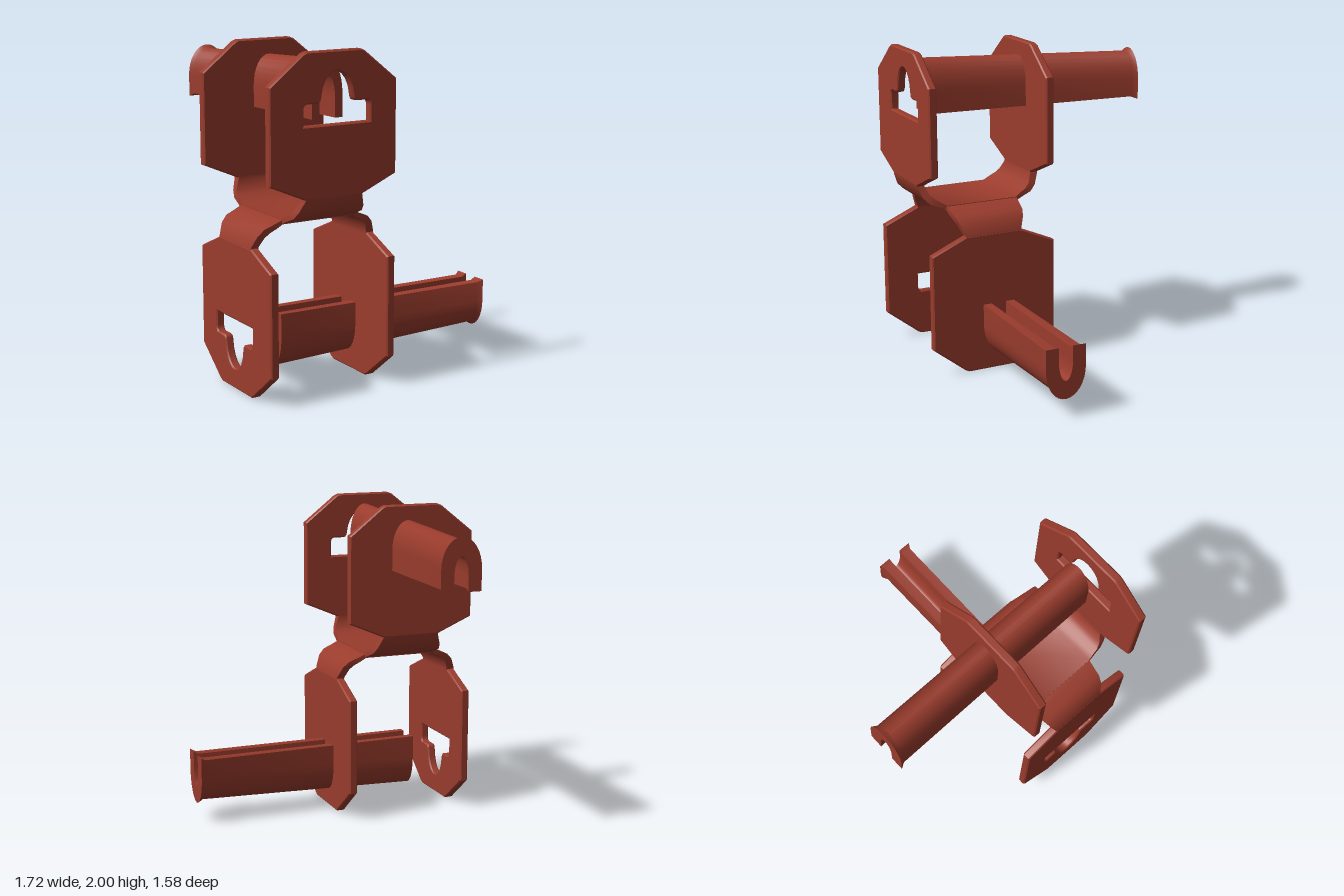
import * as THREE from 'three';
import { toCreasedNormals } from 'three/addons/utils/BufferGeometryUtils.js';

const redOxide = new THREE.MeshStandardMaterial({ color: 0x9a3c2d });
redOxide.name = 'redOxide';

// Skin a row of rings running towards -z; each ring is clockwise seen from +z.
function loft(rings) {
  const pos = [];
  const quad = (a, b, c, d) => pos.push(...a, ...b, ...c, ...a, ...c, ...d);
  const n = rings[0].length;
  for (let r = 0; r < rings.length - 1; r++) {
    const p = rings[r], q = rings[r + 1];
    for (let i = 0; i < n; i++) {
      const j = (i + 1) % n;
      quad(p[i], p[j], q[j], q[i]);
    }
  }
  const first = rings[0], last = rings[rings.length - 1];
  for (let i = 0; i < n / 2 - 1; i++) {
    quad(first[i], first[n - 1 - i], first[n - 2 - i], first[i + 1]);
    quad(last[i], last[i + 1], last[n - 2 - i], last[n - 1 - i]);
  }
  const geo = new THREE.BufferGeometry();
  geo.setAttribute('position', new THREE.Float32BufferAttribute(pos, 3));
  return toCreasedNormals(geo, 0.65);
}

// Arch outline from bottom left, over the top, to bottom right
function arch(cx, halfWidth, y0, y1, z) {
  const spring = y0 + 0.42 * (y1 - y0), pts = [[cx - halfWidth, y0, z]];
  for (let i = 0; i <= 16; i++) {
    const t = Math.PI * (1 - i / 16);
    pts.push([cx + halfWidth * Math.cos(t), spring + (y1 - spring) * Math.sin(t), z]);
  }
  pts.push([cx + halfWidth, y0, z]);
  return pts;
}

// Eight-sided lug with a narrow neck
function plate(extra, hole) {
  const s = new THREE.Shape();
  const side = [[0.183, 0.145], [0.415, 0.245], [0.415, 0.79 + extra], [0.2, 0.96 + extra], [0.175, 0.97 + extra]];
  s.setFromPoints([...side, ...side.map(([x, y]) => [-x, y]).reverse()].map(([x, y]) => new THREE.Vector2(x, y)));
  if (hole) s.holes.push(hole);
  const b = 0.008;
  const geo = new THREE.ExtrudeGeometry(s, {
    depth: 0.053 - 2 * b, bevelThickness: b, bevelSize: b, bevelOffset: -b, bevelSegments: 1, curveSegments: 10,
  });
  geo.translate(0, 0, b);
  return toCreasedNormals(geo, 0.5);
}

// Arched keyhole with a wing on each side
function keyhole(shift) {
  const c = 0.02, y = 0.56 + shift, h = new THREE.Path();
  h.moveTo(c - 0.217, y);
  h.lineTo(c + 0.217, y);
  h.lineTo(c + 0.217, y + 0.09);
  h.quadraticCurveTo(c + 0.215, y + 0.122, c + 0.19, y + 0.122);
  h.lineTo(c + 0.125, y + 0.122);
  h.quadraticCurveTo(c + 0.107, y + 0.125, c + 0.103, y + 0.15);
  h.bezierCurveTo(c + 0.085, y + 0.345, c - 0.085, y + 0.345, c - 0.103, y + 0.15);
  h.quadraticCurveTo(c - 0.107, y + 0.125, c - 0.125, y + 0.122);
  h.lineTo(c - 0.19, y + 0.122);
  h.quadraticCurveTo(c - 0.215, y + 0.122, c - 0.217, y + 0.09);
  h.closePath();
  return h;
}

// Bent strap joining the two lugs: [outer z, outer y, inner z, inner y, half width]
function strap() {
  const bend = [
    [0.415, 0.16, 0.362, 0.16, 0.183],
    [0.412, 0.14, 0.362, 0.14, 0.188],
    [0.382, 0.072, 0.338, 0.085, 0.215],
    [0.345, 0.034, 0.31, 0.058, 0.228],
    [0.29, 0.012, 0.272, 0.038, 0.234],
    [0.24, -0.01, 0.235, 0.014, 0.24],
  ];
  const mirrored = bend.map(([oz, oy, iz, iy, w]) => [-oz, oy, -iz, iy, w]).reverse();
  return loft([...bend, ...mirrored].map(([oz, oy, iz, iy, w]) =>
    [[-w, iy, iz], [w, iy, iz], [w, oy, oz], [-w, oy, oz]]));
}

// Tapered channel pin with a flared tip
function pin(slide, nearShift, farShift) {
  const c = 0.027;
  // z, outer half width, base, outer top, channel half width, channel top
  const sections = [
    [0.295, 0.1, 0.575, 0.91, 0.052, 0.83, nearShift],
    [-1.135, 0.112, 0.557, 0.842, 0.046, 0.75, farShift],
    [-1.167, 0.13, 0.54, 0.862, 0.046, 0.75, farShift],
  ];
  return loft(sections.map(([z, w, y0, y1, cw, cy, d]) => [
    ...arch(c, w, y0 + d, y1 + d, z + slide),
    ...arch(c, cw, y0 + d, cy + d, z + slide).reverse(),
  ]));
}

function yoke(name, extra, slide, nearShift, farShift) {
  const g = new THREE.Group();
  g.name = name;
  const add = (part, geo, z = 0) => {
    const m = new THREE.Mesh(geo, redOxide);
    m.name = part;
    m.position.z = z;
    g.add(m);
  };
  add('slottedPlate', plate(extra, keyhole(farShift)), 0.362);
  add('pinPlate', plate(extra), -0.415);
  add('bentStrap', strap());
  add('channelPin', pin(slide, nearShift, farShift));
  g.position.set(-0.45, 1.03, 0.3775);
  return g;
}

export function createModel() {
  const model = new THREE.Group();
  model.name = 'crossedYokeBracket';
  const upper = yoke('upperYoke', 0, 0, 0, 0);
  // Lower yoke is turned over and a quarter turn round
  const lower = yoke('lowerYoke', 0.06, -0.143, 0.022, 0.05);
  lower.quaternion.set(Math.SQRT1_2, 0, -Math.SQRT1_2, 0);
  model.add(upper, lower);
  return model;
}
